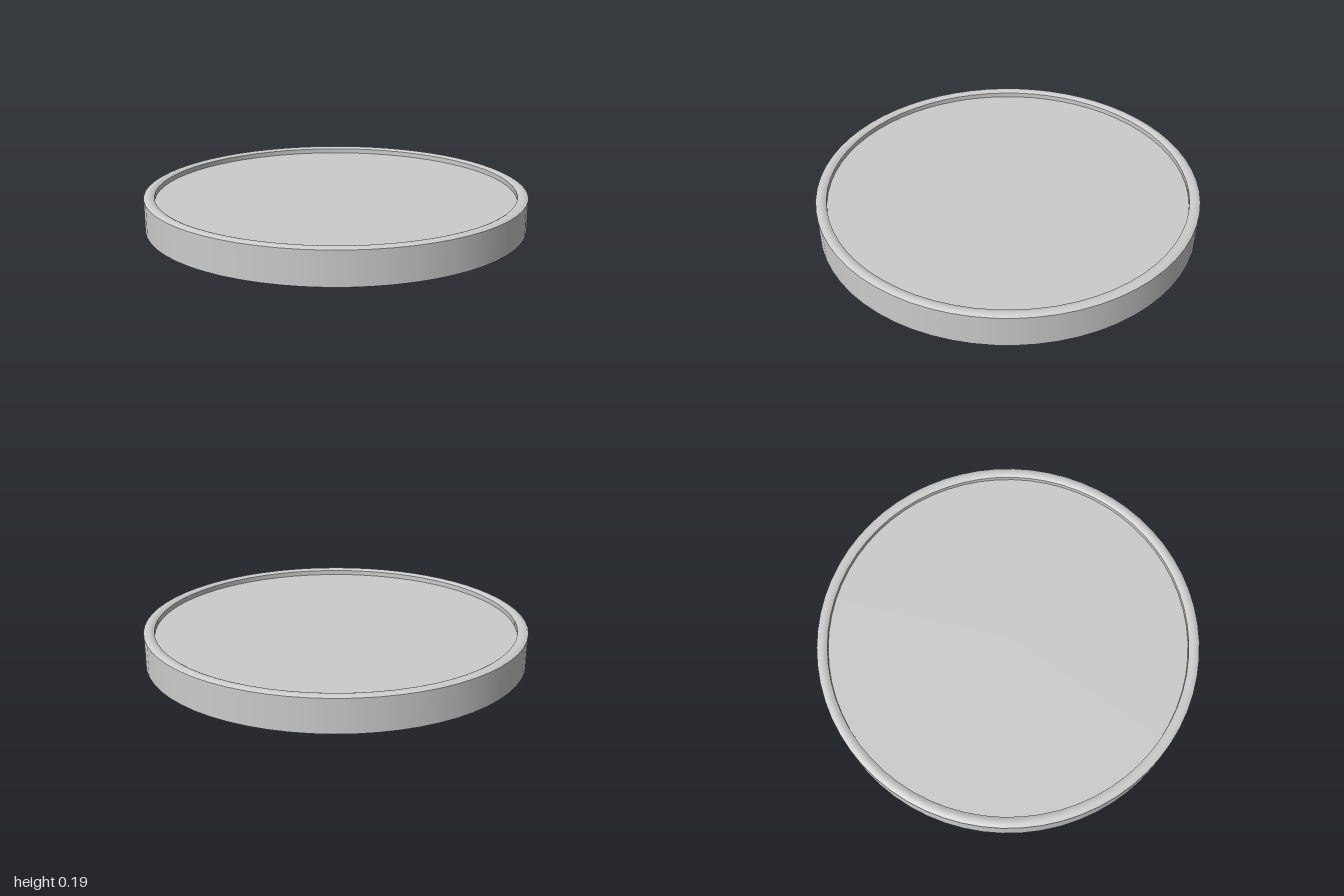
import * as THREE from 'three';

const SEGMENTS = 64;
const R_OUT = 1, R_IN = 0.945;        // rim radii
const HEIGHT = 0.187, BULGE = 0.009;  // total height, rounding of the rim edges
const RECESS = 0.035;                 // depth of the sunken faces

export function createModel() {
  const group = new THREE.Group();
  const material = new THREE.MeshStandardMaterial({ color: 0xcccccc });

  // Each profile is turned separately so the edges between them stay sharp
  const turn = (parent, name, points) => {
    const profile = points.map(([r, y]) => new THREE.Vector2(r, y));
    const mesh = new THREE.Mesh(new THREE.LatheGeometry(profile, SEGMENTS), material);
    mesh.name = name;
    parent.add(mesh);
  };

  // Rim band
  const rim = new THREE.Group();
  rim.name = 'rim';
  group.add(rim);
  const low = BULGE, high = HEIGHT - BULGE;
  turn(rim, 'outerWall', [[R_OUT, low], [R_OUT, high]]);

  // Gently rounded lip, from the outer edge over the crest to the inner edge
  const lip = [];
  for (let i = 0; i <= 6; i++) {
    const t = i / 3 - 1;
    lip.push([THREE.MathUtils.lerp(R_OUT, R_IN, i / 6), high + BULGE * (1 - t * t)]);
  }
  turn(rim, 'topLip', lip);
  turn(rim, 'bottomLip', lip.map(([r, y]) => [r, HEIGHT - y]).reverse());

  // Inner walls down to the sunken faces
  const top = HEIGHT - RECESS, bottom = RECESS;
  turn(rim, 'topInnerWall', [[R_IN, high], [R_IN, top]]);
  turn(rim, 'bottomInnerWall', [[R_IN, bottom], [R_IN, low]]);

  // Sunken flat faces
  for (const [name, y, side] of [['topFace', top, -1], ['bottomFace', bottom, 1]]) {
    const face = new THREE.Mesh(new THREE.CircleGeometry(R_IN, SEGMENTS), material);
    face.name = name;
    face.rotation.x = side * Math.PI / 2;
    face.position.y = y;
    group.add(face);
  }
  return group;
}
